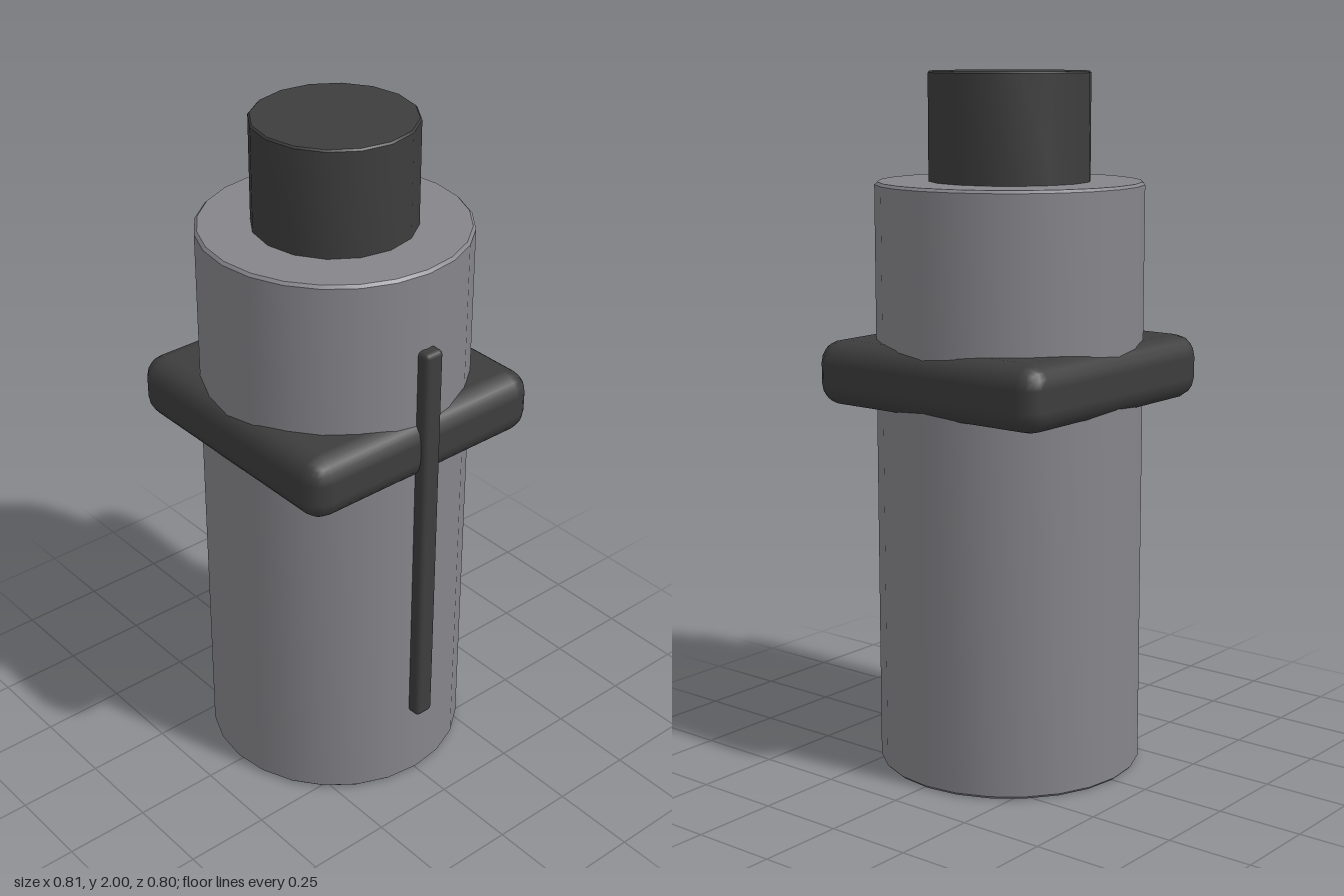
import * as THREE from 'three';
import { toCreasedNormals } from 'three/addons/utils/BufferGeometryUtils.js';
import { RoundedBoxGeometry } from 'three/addons/geometries/RoundedBoxGeometry.js';

const AXIS_X = -0.01; // the clip overhangs one side, so the barrel sits slightly off centre

export function createModel() {
  const grey = new THREE.MeshStandardMaterial({ color: 0x86858a });
  grey.name = 'greyMetal';
  const dark = new THREE.MeshStandardMaterial({ color: 0x3d3d3d });
  dark.name = 'darkPlastic';

  const model = new THREE.Group();
  model.name = 'canister';

  const add = (name, geometry, material, x, y) => {
    const mesh = new THREE.Mesh(geometry, material);
    mesh.name = name;
    mesh.position.set(x, y, 0);
    model.add(mesh);
  };

  // Closed cylinder with small bevelled rims
  const bevelledCylinder = (radius, height, sides, bevel) => {
    const profile = [
      [0, 0], [radius - bevel, 0], [radius, bevel],
      [radius, height - bevel], [radius - bevel, height], [0, height],
    ].map(([r, y]) => new THREE.Vector2(r, y));
    return toCreasedNormals(new THREE.LatheGeometry(profile, sides), Math.PI / 6);
  };

  // Barrel and the narrower cap on top
  add('body', bevelledCylinder(0.382, 1.695, 24, 0.008), grey, AXIS_X, 0);
  add('cap', bevelledCylinder(0.23, 0.31, 16, 0.005), dark, AXIS_X, 1.69);

  // Square collar around the barrel
  add('collar', new RoundedBoxGeometry(0.798, 0.187, 0.798, 2, 0.064), dark, AXIS_X, 1.157);

  // Long vertical strip on the left side
  add('sideStrip', new RoundedBoxGeometry(0.06, 1.23, 0.06, 2, 0.014), dark, 0.375, 0.85);

  return model;
}
